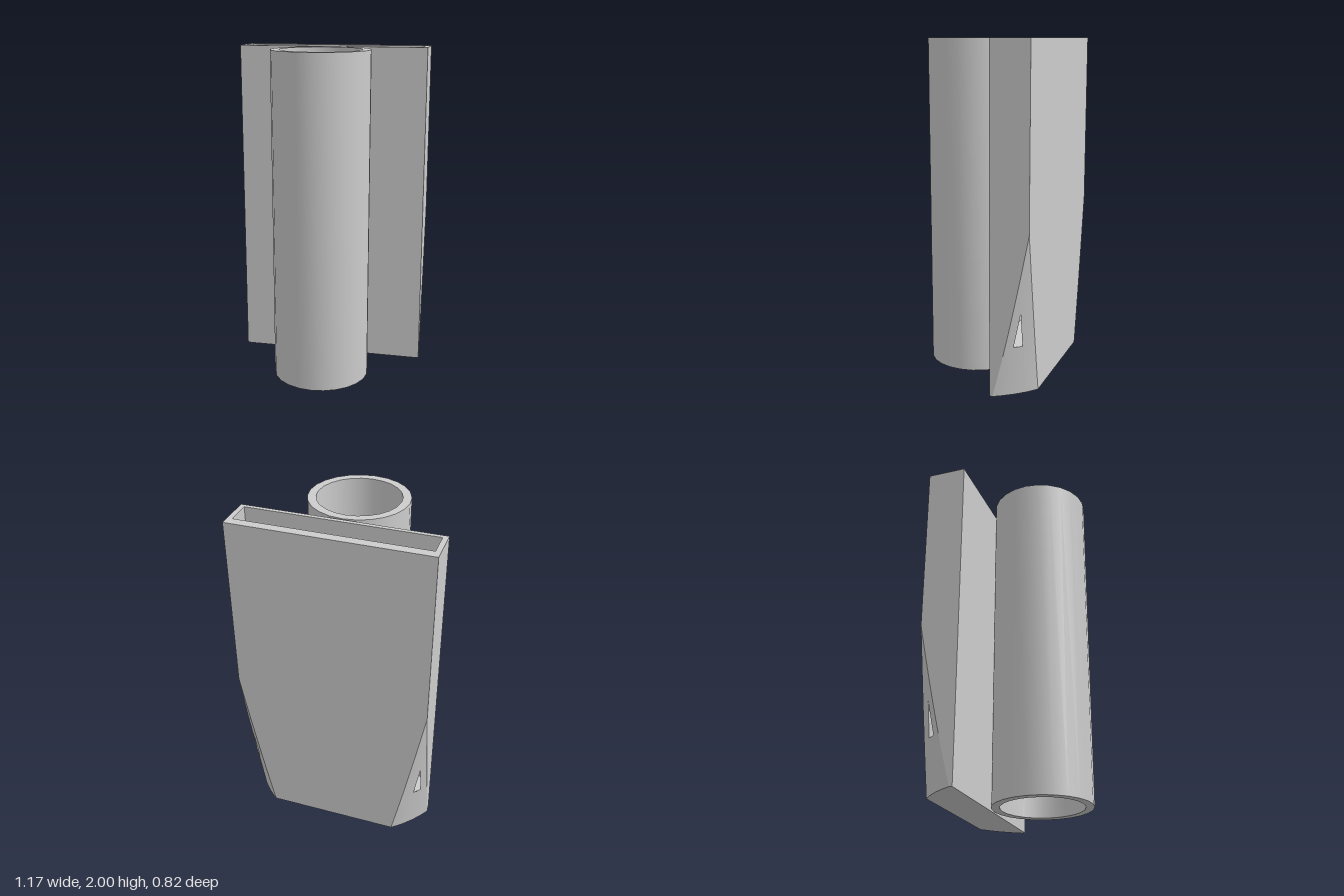
import * as THREE from 'three';
import { toCreasedNormals } from 'three/addons/utils/BufferGeometryUtils.js';

const AXIS_Z = 0.12;                                   // shared axis of the tube and the taper
const OUT = { x: 0.583, front: -0.182, back: -0.413 }; // holder block
const CAV = { x: 0.553, front: -0.207, back: -0.357 }; // pocket inside it
const HEIGHT = 2, FLOOR = 0.3, TAPER_TOP = 0.96;

// The taper is a cone about the tube axis that trims the rear corners.
const R0 = Math.hypot(OUT.x, 0.32);
const R_CORNER = Math.hypot(OUT.x, AXIS_Z - OUT.back);
const R_CAV = Math.hypot(CAV.x, AXIS_Z - CAV.back);
const SLOPE = (R_CORNER - R0) / TAPER_TOP;
const APEX = (R_CAV - R0) / SLOPE;                     // top of the opening into the pocket
const radiusAt = (y) => Math.min(R0 + SLOPE * y, R_CORNER);
const angles = (r, box) => [Math.acos(box.x / r), Math.asin((AXIS_Z - box.back) / r)];

// Right half of a section, mirrored into a full loop (anticlockwise from above)
function mirrorLoop(half) {
  const left = half.map((p) => new THREE.Vector3(-p.x, p.y, p.z)).reverse();
  return [...half, ...left];
}

function outerRing(y) {
  const r = radiusAt(y);
  const [a0, a1] = angles(r, OUT);
  let [w0, w1] = angles(Math.min(r, R_CAV), CAV);
  if (r >= R_CAV) w0 = w1 = THREE.MathUtils.clamp(w0, a0, a1);
  const stops = [];
  const span = (from, to, n) => {
    for (let i = 0; i < n; i++) stops.push(from + ((to - from) * i) / n);
  };
  span(a0, w0, 4);
  span(w0, w1, 2);
  span(w1, a1, 4);
  stops.push(a1);
  const half = [new THREE.Vector3(OUT.x, y, OUT.front)];
  for (const a of stops) half.push(new THREE.Vector3(r * Math.cos(a), y, AXIS_Z - r * Math.sin(a)));
  return mirrorLoop(half);
}

function innerRing(y) {
  const r = Math.min(radiusAt(y), R_CAV);
  const [w0, w1] = angles(r, CAV);
  return mirrorLoop([
    new THREE.Vector3(CAV.x, y, CAV.front),
    new THREE.Vector3(CAV.x, y, AXIS_Z - r * Math.sin(w0)),
    new THREE.Vector3(r * Math.cos(w1), y, CAV.back),
  ]);
}

function holderGeometry() {
  const pos = [];
  const tri = (a, b, c) => {
    const area = b.clone().sub(a).cross(c.clone().sub(a)).length();
    if (area > 1e-8) for (const p of [a, b, c]) pos.push(p.x, p.y, p.z);
  };
  const quad = (a, b, c, d) => { tri(a, b, c); tri(a, c, d); };
  const fan = (loop) => {
    for (let i = 1; i < loop.length - 1; i++) tri(loop[0], loop[i], loop[i + 1]);
  };

  // Outer walls, left open where the taper breaks into the pocket
  const levels = [0, 0.1, 0.2, FLOOR, 0.35, 0.4, 0.45, APEX, 0.6, 0.7, 0.8, 0.9, TAPER_TOP, HEIGHT];
  const openSegments = [5, 6, 16, 17];
  for (let k = 0; k < levels.length - 1; k++) {
    const b = outerRing(levels[k]), t = outerRing(levels[k + 1]);
    const atOpening = levels[k] >= FLOOR && levels[k + 1] <= APEX;
    for (let i = 0; i < b.length; i++) {
      if (atOpening && openSegments.includes(i)) continue;
      const j = (i + 1) % b.length;
      quad(b[i], b[j], t[j], t[i]);
    }
  }

  // Pocket walls, facing inward
  const inner = levels.filter((y) => y >= FLOOR && (y <= APEX || y === HEIGHT));
  for (let k = 0; k < inner.length - 1; k++) {
    const b = innerRing(inner[k]), t = innerRing(inner[k + 1]);
    for (let i = 0; i < 6; i++) {
      if (i === 1 || i === 3) continue;                // trimmed corners stay open
      const j = (i + 1) % 6;
      quad(b[j], b[i], t[i], t[j]);
    }
  }

  // Pocket floor, underside and top rim
  fan(innerRing(FLOOR));
  fan(outerRing(0).reverse());
  const corners = (box) => mirrorLoop([
    new THREE.Vector3(box.x, HEIGHT, box.front),
    new THREE.Vector3(box.x, HEIGHT, box.back),
  ]);
  const o = corners(OUT), n = corners(CAV);
  for (let i = 0; i < 4; i++) {
    const j = (i + 1) % 4;
    quad(o[i], o[j], n[j], n[i]);
  }

  const geo = new THREE.BufferGeometry();
  geo.setAttribute('position', new THREE.Float32BufferAttribute(pos, 3));
  return toCreasedNormals(geo, 0.3);
}

// Open tube with a square-edged wall
function tubeGeometry(rOut, rIn) {
  const profile = [[rIn, 0], [rOut, 0], [rOut, HEIGHT], [rIn, HEIGHT], [rIn, 0]]
    .map(([r, y]) => new THREE.Vector2(r, y));
  return toCreasedNormals(new THREE.LatheGeometry(profile, 24), 0.4);
}

export function createModel() {
  const grey = new THREE.MeshStandardMaterial({ color: 0xcccccc });
  grey.name = 'light grey';

  const group = new THREE.Group();
  group.name = 'tubeAndFlatHolder';

  const tube = new THREE.Mesh(tubeGeometry(0.292, 0.243), grey);
  tube.name = 'roundTube';
  tube.position.z = AXIS_Z;

  const holder = new THREE.Mesh(holderGeometry(), grey);
  holder.name = 'flatHolder';

  group.add(tube, holder);
  return group;
}
